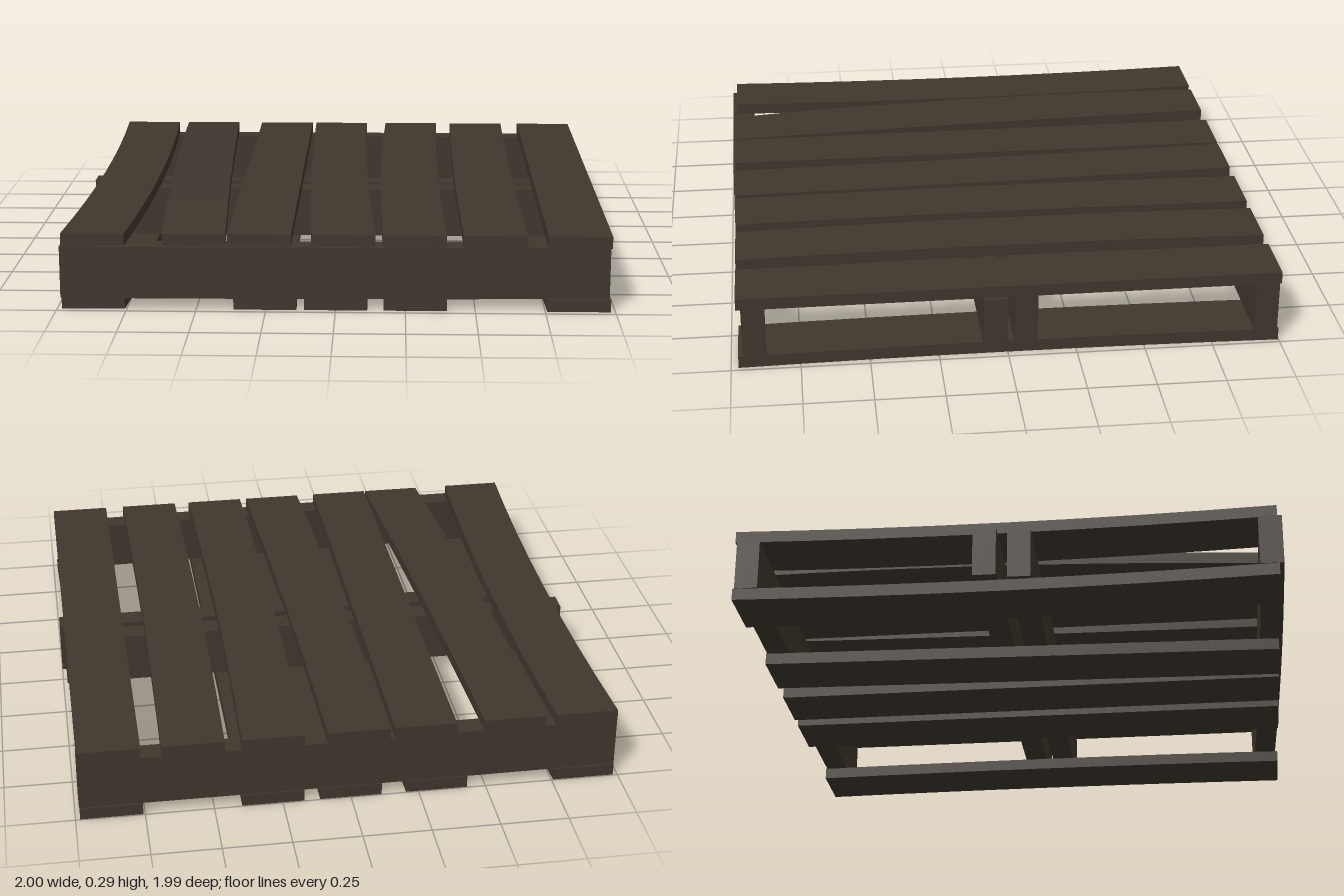
import * as THREE from 'three';

const wood = new THREE.MeshStandardMaterial({ color: 0x40372e });
wood.name = 'darkWood';

// Quadratic through three values at t = -1, 0, 1
const bend = ([a, b, c], t) => b + (c - a) / 2 * t + ((a + c) / 2 - b) * t * t;

// Plank along z whose centre line follows three x and three y stations (back, middle, front)
function board(name, width, height, xs, ys, roll = 0) {
  const geo = new THREE.BoxGeometry(width, height, 2, 1, 1, 8);
  const p = geo.attributes.position;
  for (let i = 0; i < p.count; i++) {
    const t = p.getZ(i);
    const twist = roll * (1 - t * t) * p.getX(i);
    p.setXYZ(i, p.getX(i) + bend(xs, t), p.getY(i) + bend(ys, t) + twist, t * 0.985 - 0.012);
  }
  geo.computeVertexNormals();
  const mesh = new THREE.Mesh(geo, wood);
  mesh.name = name;
  return mesh;
}

// Upright beam along x whose centre line follows three z stations (left edge of the plan to right)
function beam(name, x0, x1, zs, y0, y1) {
  const geo = new THREE.BoxGeometry(2, y1 - y0, 0.085, 8, 1, 1);
  const p = geo.attributes.position;
  for (let i = 0; i < p.count; i++) {
    const t = p.getX(i);
    p.setXYZ(i, (x0 + x1) / 2 + t * (x1 - x0) / 2, p.getY(i) + (y0 + y1) / 2, p.getZ(i) + bend(zs, t));
  }
  geo.computeVertexNormals();
  const mesh = new THREE.Mesh(geo, wood);
  mesh.name = name;
  return mesh;
}

export function createModel() {
  const model = new THREE.Group();
  model.name = 'pallet';

  // Top deck: slightly warped planks
  const flat = [0.257, 0.257, 0.257];
  const deck = [
    [[-0.87, -0.84, -0.868], flat, 0],
    [[-0.602, -0.56, -0.505], [0.257, 0.266, 0.257], -0.06],
    [[-0.272, -0.272, -0.272], flat, 0],
    [[-0.028, -0.012, 0.028], [0.257, 0.248, 0.257], 0],
    [[0.282, 0.268, 0.282], flat, 0],
    [[0.57, 0.56, 0.57], [0.257, 0.262, 0.257], 0],
    [[0.87, 0.87, 0.87], flat, 0],
  ];
  deck.forEach(([xs, ys, roll], i) => model.add(board('topBoard' + (i + 1), 0.227, 0.044, xs, ys, roll)));

  // Bottom deck
  const low = [0.023, 0.023, 0.023];
  [
    [-0.87, -0.842, -0.87],
    [-0.318, -0.285, -0.253],
    [0, 0, 0],
    [0.285, 0.285, 0.285],
    [0.87, 0.855, 0.87],
  ].forEach((xs, i) => model.add(board('bottomBoard' + (i + 1), 0.227, 0.045, xs, low)));

  // Four upright beams between the decks
  model.add(
    beam('frontBeam', -0.985, 0.98, [0.947, 0.94, 0.913], 0.045, 0.235),
    beam('middleFrontBeam', -0.975, 1, [0.045, 0.05, 0.047], 0.045, 0.235),
    beam('middleBackBeam', -1, 0.985, [-0.078, -0.072, -0.065], 0.045, 0.235),
    beam('backBeam', -0.985, 0.985, [-0.948, -0.95, -0.948], 0.045, 0.235),
  );
  return model;
}
